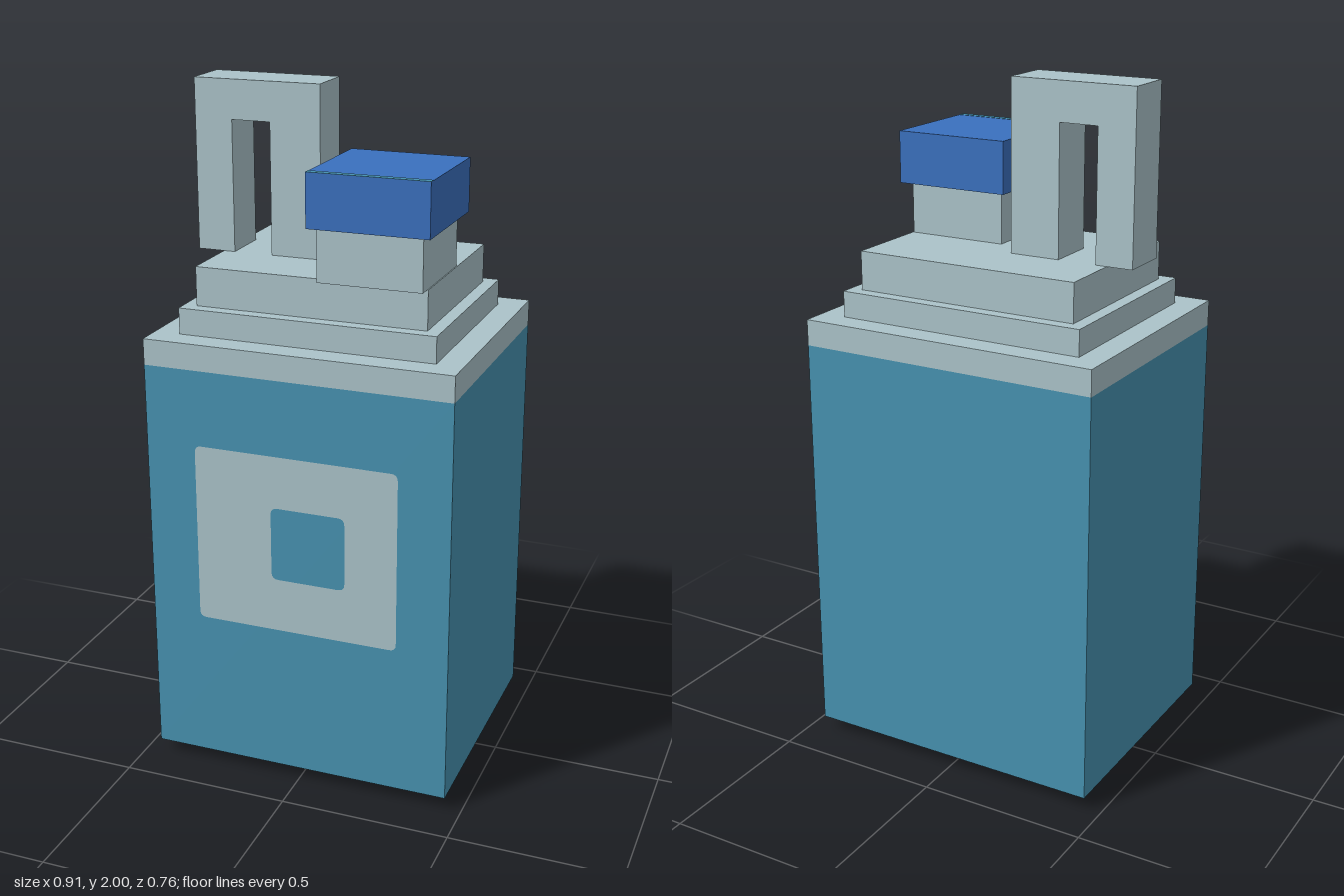
import * as THREE from 'three';

function mat(name, color) {
  const m = new THREE.MeshStandardMaterial({ color });
  m.name = name;
  return m;
}

// Rectangle with slightly rounded corners, usable as outline or hole
function roundedRect(path, x0, y0, x1, y1, r) {
  path.moveTo(x0 + r, y0);
  path.lineTo(x1 - r, y0);
  path.quadraticCurveTo(x1, y0, x1, y0 + r);
  path.lineTo(x1, y1 - r);
  path.quadraticCurveTo(x1, y1, x1 - r, y1);
  path.lineTo(x0 + r, y1);
  path.quadraticCurveTo(x0, y1, x0, y1 - r);
  path.lineTo(x0, y0 + r);
  path.quadraticCurveTo(x0, y0, x0 + r, y0);
  return path;
}

export function createModel() {
  const group = new THREE.Group();
  const teal = mat('teal', 0x4792b0);
  const grey = mat('paleGrey', 0xabc3c9);
  const blue = mat('blue', 0x3a70be);

  // Box given by its limits on each axis
  function box(name, [x0, x1], [y0, y1], [z0, z1], material) {
    const mesh = new THREE.Mesh(new THREE.BoxGeometry(x1 - x0, y1 - y0, z1 - z0), material);
    mesh.position.set((x0 + x1) / 2, (y0 + y1) / 2, (z0 + z1) / 2);
    mesh.name = name;
    group.add(mesh);
    return mesh;
  }
  const sym = (v) => [-v, v];

  // Teal sides with a pale underside
  const tealSides = [teal, teal, grey, grey, teal, teal];
  box('base', sym(0.377), [0, 0.04], sym(0.302), tealSides);
  box('body', sym(0.453), [0.04, 1.245], sym(0.377), tealSides);

  // Pale rim and stepped shoulders
  box('rim', sym(0.453), [1.245, 1.321], sym(0.377), grey);
  box('lowerShoulder', sym(0.377), [1.321, 1.397], sym(0.302), grey);
  box('upperShoulder', sym(0.339), [1.397, 1.51], sym(0.264), grey);

  // Spout and cap, with a teal strip along the front of the cap top
  box('spout', [0.037, 0.336], [1.51, 1.66], [0.003, 0.302], grey);
  box('cap', [0.015, 0.36], [1.66, 1.811], [-0.025, 0.323], blue);
  box('capStrip', [0.015, 0.36], [1.811, 1.812], [0.301, 0.323], teal);

  // Handle: an arch standing on the shoulder
  const arch = new THREE.Shape([
    [-0.417, 1.51], [-0.305, 1.51], [-0.305, 1.888], [-0.19, 1.888],
    [-0.19, 1.51], [-0.04, 1.51], [-0.04, 2], [-0.417, 2],
  ].map(([x, y]) => new THREE.Vector2(x, y)));
  const handle = new THREE.Mesh(
    new THREE.ExtrudeGeometry(arch, { depth: 0.15, bevelEnabled: false }), grey);
  handle.position.z = -0.075;
  handle.name = 'handle';
  group.add(handle);

  // Front label with a square opening
  const frame = roundedRect(new THREE.Shape(), -0.304, 0.488, 0.3, 1.023, 0.02);
  frame.holes.push(roundedRect(new THREE.Path(), -0.075, 0.648, 0.146, 0.868, 0.02));
  const label = new THREE.Mesh(new THREE.ShapeGeometry(frame, 4), grey);
  label.position.z = 0.379;
  label.name = 'frontLabel';
  group.add(label);

  return group;
}
